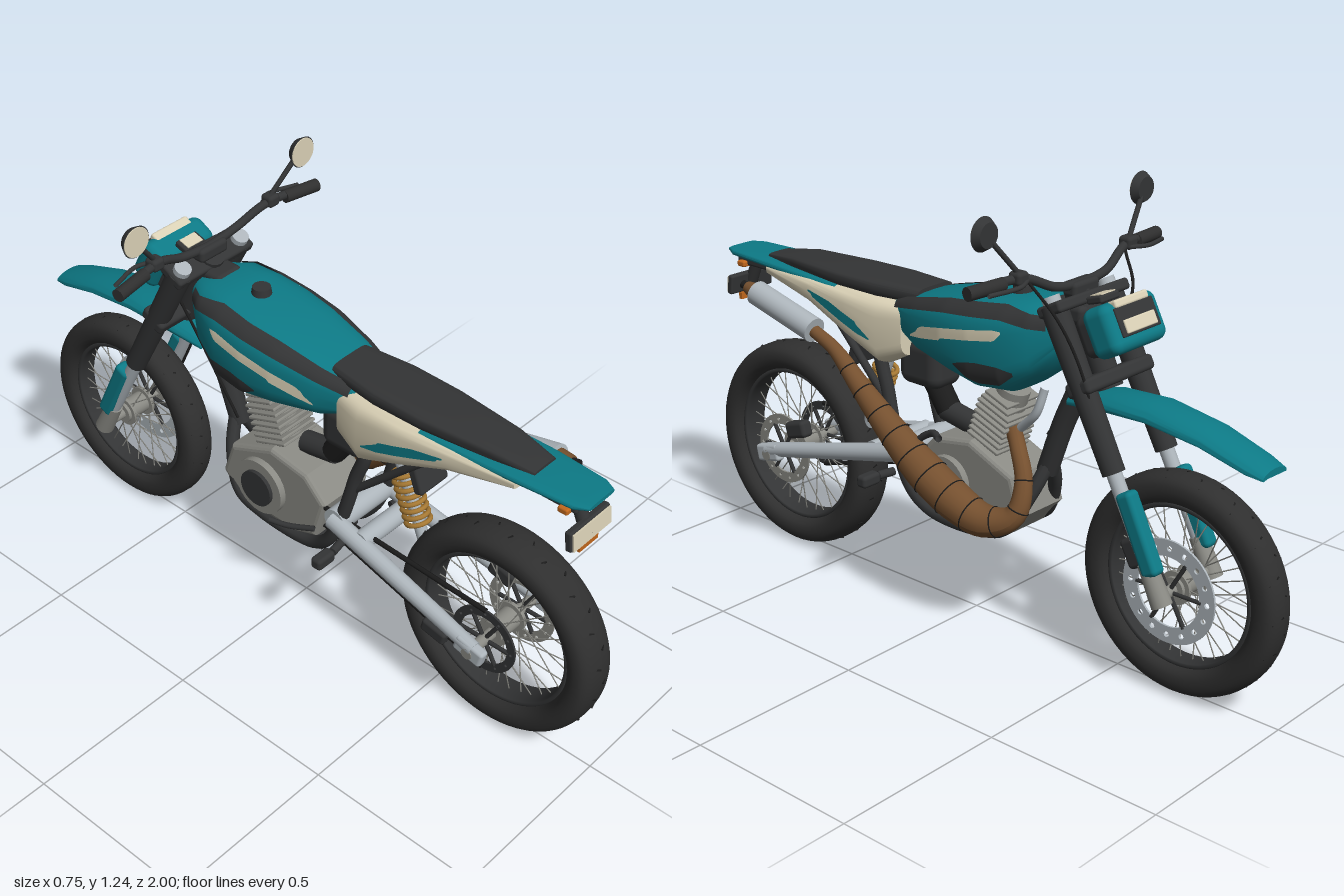
import * as THREE from 'three';
import { toCreasedNormals } from 'three/addons/utils/BufferGeometryUtils.js';
import { RoundedBoxGeometry } from 'three/addons/geometries/RoundedBoxGeometry.js';

export function createModel() {
  const bike = new THREE.Group();
  bike.name = 'motorcycle';
  const paint = (name, color, side = THREE.FrontSide) => Object.assign(new THREE.MeshStandardMaterial({ color, side }), { name });
  const teal = paint('teal', 0x0d7a86, THREE.DoubleSide), cream = paint('cream', 0xdad1b6, THREE.DoubleSide);
  const dark = paint('charcoal', 0x333435, THREE.DoubleSide), rubber = paint('rubber', 0x2f2f2f), black = paint('black', 0x1c1c1c);
  const silver = paint('silver', 0xadb5bb), grey = paint('cast metal', 0x8a8a84), brown = paint('bronze', 0x75502f);
  const orange = paint('orange', 0xc2681c), gold = paint('gold', 0xa87a34);
  const V = (p) => new THREE.Vector3(...p);
  const both = (fn) => [1, -1].forEach(fn);

  const add = (name, geo, mat, pos = [0, 0, 0], rot = [0, 0, 0], parent = bike) => {
    const m = new THREE.Mesh(geo, mat);
    m.name = name;
    m.position.set(...pos);
    m.rotation.set(...rot);
    parent.add(m);
    return m;
  };
  const box = (name, size, mat, pos, rot, parent) => add(name, new THREE.BoxGeometry(...size), mat, pos, rot, parent);
  const rounded = (name, [w, h, d], mat, pos, rot, parent) =>
    add(name, new RoundedBoxGeometry(w, h, d, 3, Math.min(w, h, d) * 0.3), mat, pos, rot, parent);
  // Straight rod between two points
  const rod = (name, a, b, r, mat, r2 = r, sides = 16, parent = bike) => {
    const A = V(a), B = V(b), d = B.clone().sub(A);
    const m = add(name, new THREE.CylinderGeometry(r2, r, d.length(), sides), mat, A.clone().add(B).multiplyScalar(0.5).toArray(), [0, 0, 0], parent);
    m.quaternion.setFromUnitVectors(new THREE.Vector3(0, 1, 0), d.normalize());
    return m;
  };
  const tube = (name, pts, r, mat, n = 32) => add(name, new THREE.TubeGeometry(new THREE.CatmullRomCurve3(pts.map(V)), n, r, 10), mat);
  const axial = (name, r, len, mat, pos, parent) => add(name, new THREE.CylinderGeometry(r, r, len, 28), mat, pos, [0, 0, Math.PI / 2], parent);
  // Side profile given as [z, y], extruded across x
  const slab = (name, shape, width, mat, bevel = 0) => {
    const g = new THREE.ExtrudeGeometry(shape, { depth: width, bevelEnabled: bevel > 0, bevelSize: bevel, bevelThickness: bevel, curveSegments: 32 });
    return add(name, g.translate(0, 0, -width / 2).rotateY(-Math.PI / 2), mat);
  };
  const spow = (v, e) => Math.sign(v) * Math.abs(v) ** e;

  // Body lofted along z from stations [z, bottom, top, halfWidth]
  const loft = (name, st, mat, e = 0.6, arch = 0) => {
    const N = 36, pos = [], idx = [];
    st.forEach(([z, b, t, w]) => {
      for (let i = 0; i < N; i++) {
        const a = (i / N) * Math.PI * 2, x = w * spow(Math.cos(a), e);
        pos.push(x, (b + t) / 2 + ((t - b) / 2) * spow(Math.sin(a), e) - arch * x * x, z);
      }
    });
    for (let s = 0; s < st.length - 1; s++) for (let i = 0; i < N; i++) {
      const a = s * N + i, b = s * N + ((i + 1) % N);
      idx.push(a, b, b + N, a, b + N, a + N);
    }
    const L = (st.length - 1) * N;
    for (let i = 1; i < N - 1; i++) idx.push(0, i + 1, i, L, L + i, L + i + 1);
    const g = new THREE.BufferGeometry();
    g.setAttribute('position', new THREE.Float32BufferAttribute(pos, 3));
    g.setIndex(idx);
    return add(name, toCreasedNormals(g, 0.7), mat);
  };
  const lerpRow = (rows, z) => {
    let k = 0;
    while (k < rows.length - 2 && z > rows[k + 1][0]) k++;
    const f = THREE.MathUtils.clamp((z - rows[k][0]) / (rows[k + 1][0] - rows[k][0]), 0, 1);
    return rows[k].map((v, i) => v + (rows[k + 1][i] - v) * f);
  };
  // Painted patch hugging both sides of a loft, outlined by rows [z, low, high]
  const decal = (name, st, rows, mat, e = 0.6) => both((s) => {
    const g = new THREE.PlaneGeometry(1, 1, 40, 6), p = g.attributes.position;
    for (let i = 0; i < p.count; i++) {
      const z = THREE.MathUtils.lerp(rows[0][0], rows.at(-1)[0], p.getX(i) + 0.5);
      const [, lo, hi] = lerpRow(rows, z), y = lo + (hi - lo) * (p.getY(i) + 0.5);
      const [, b, t, w] = lerpRow(st, z), v = Math.min(0.99, Math.abs((y - (b + t) / 2) / ((t - b) / 2)));
      p.setXYZ(i, s * (w * (1 - v ** (2 / e)) ** (e / 2) + 0.005), y + (y > (b + t) / 2 ? 0.003 : -0.003), z);
    }
    g.computeVertexNormals();
    add(name, g, mat);
  });

  // Wheels
  const ringGeo = (rc, h, w, e) => {
    const pts = [];
    for (let i = 0; i <= 24; i++) {
      const a = (i / 24) * Math.PI * 2;
      pts.push(new THREE.Vector2(rc + h * spow(Math.cos(a), e), w * spow(Math.sin(a), e)));
    }
    return new THREE.LatheGeometry(pts, 64).rotateZ(Math.PI / 2);
  };
  const disc = (name, r, inner, holes, mat, x, y, z) => {
    const s = new THREE.Shape().absarc(0, 0, r, 0, Math.PI * 2);
    s.holes.push(new THREE.Path().absarc(0, 0, inner, 0, Math.PI * 2, true));
    for (let i = 0; i < holes; i++) {
      const a = (i / holes) * Math.PI * 2, q = (r + inner) / 2;
      s.holes.push(new THREE.Path().absarc(q * Math.cos(a), q * Math.sin(a), (r - inner) * 0.17, 0, Math.PI * 2, true));
    }
    slab(name, s, 0.006, mat).position.set(x, y, z);
    for (let i = 0; i < 6; i++) {
      const a = (i / 6) * Math.PI * 2;
      rod(name + 'Arm', [x, y, z], [x, y + inner * 1.05 * Math.sin(a), z + inner * 1.05 * Math.cos(a)], 0.006, dark, 0.006, 6);
    }
  };
  const wheel = (name, y, z, R, w) => {
    const g = new THREE.Group();
    g.name = name;
    g.position.set(0, y, z);
    bike.add(g);
    add('tyre', ringGeo(R - 0.041, 0.041, w, 0.8), rubber, undefined, undefined, g);
    add('rim', ringGeo(R - 0.084, 0.008, w * 0.6, 0.5), dark, undefined, undefined, g);
    axial('hub', 0.032, 0.1, grey, [0, 0, 0], g);
    both((s) => axial('hubFlange', 0.045, 0.01, grey, [s * 0.035, 0, 0], g));
    for (let i = 0; i < 36; i++) {
      const a = (i / 36) * Math.PI * 2, b = a + (i % 4 < 2 ? 0.3 : -0.3), r = R - 0.086;
      rod('spoke', [(i % 2 ? 1 : -1) * 0.035, 0.042 * Math.sin(b), 0.042 * Math.cos(b)], [0, r * Math.sin(a), r * Math.cos(a)], 0.0018, grey, 0.0018, 5, g);
      const t = new THREE.Group();
      t.rotation.x = a;
      g.add(t);
      box('treadGroove', [w * 0.75, 0.004, 0.004], black, [(i % 2 ? 1 : -1) * w * 0.42, R - 0.006, 0], [0, (i % 2 ? 1 : -1) * 0.5, (i % 2 ? -1 : 1) * 0.3], t);
    }
  };
  wheel('rearWheel', 0.31, 0.69, 0.309, 0.064);
  wheel('frontWheel', 0.3, -0.7, 0.298, 0.05);
  disc('frontBrakeDisc', 0.14, 0.095, 16, silver, 0.065, 0.3, -0.7);
  disc('rearBrakeDisc', 0.105, 0.075, 14, grey, 0.08, 0.31, 0.69);
  disc('rearSprocket', 0.1, 0.075, 12, dark, -0.08, 0.31, 0.69);
  axial('frontAxle', 0.016, 0.25, grey, [0, 0.3, -0.7]);
  axial('rearAxle', 0.016, 0.31, grey, [0, 0.31, 0.69]);
  rounded('frontCaliper', [0.04, 0.08, 0.05], dark, [0.075, 0.38, -0.6], [0.5, 0, 0]);
  rounded('rearCaliper', [0.04, 0.05, 0.08], dark, [0.085, 0.39, 0.62], [0.3, 0, 0]);

  // Fork, clamps and leg guards
  const RAKE = 0.478, at = (y) => -0.7 + (y - 0.305) * 0.518;
  both((s) => {
    const leg = (n, a, b, r, m, r2) => rod(n, [s * 0.108, a, at(a)], [s * 0.108, b, at(b)], r, m, r2);
    leg('forkUpper', 0.59, 0.98, 0.03, dark, 0.035);
    leg('forkTube', 0.3, 0.6, 0.02, silver);
    leg('forkCap', 0.98, 1.0, 0.024, silver);
    leg('forkFoot', 0.28, 0.38, 0.028, grey, 0.024);
    rounded('forkGuard', [0.045, 0.22, 0.05], teal, [s * 0.112, 0.455, at(0.455) - 0.018], [RAKE - 0.03, 0, 0]);
  });
  rounded('upperClamp', [0.28, 0.03, 0.08], dark, [0, 0.975, -0.36], [RAKE, 0, 0]);
  rounded('lowerClamp', [0.27, 0.04, 0.08], dark, [0, 0.79, -0.45], [RAKE, 0, 0]);
  rod('steeringHead', [0, 0.76, -0.45], [0, 0.99, -0.34], 0.035, dark);

  // Front fender
  loft('frontFender', [[-0.945, 0.665, 0.68, 0.05], [-0.9, 0.675, 0.7, 0.06], [-0.77, 0.715, 0.742, 0.068], [-0.61, 0.738, 0.768, 0.072],
    [-0.47, 0.73, 0.762, 0.068], [-0.35, 0.705, 0.73, 0.05]], teal, 0.6, 4);

  // Headlight cowl
  const cowl = new THREE.Group();
  cowl.name = 'headlight';
  cowl.position.set(0, 0.935, -0.49);
  cowl.rotation.x = RAKE;
  bike.add(cowl);
  rounded('cowl', [0.21, 0.13, 0.09], teal, [0, 0, 0], [0, 0, 0], cowl);
  rounded('cowlBack', [0.17, 0.11, 0.08], dark, [0, 0, 0.05], [0, 0, 0], cowl);
  rounded('lampRecess', [0.15, 0.075, 0.012], dark, [0, 0.008, -0.044], [0, 0, 0], cowl);
  rounded('lamp', [0.12, 0.035, 0.012], cream, [0, -0.006, -0.049], [0, 0, 0], cowl);
  rounded('lampStrip', [0.13, 0.022, 0.03], cream, [0, 0.054, -0.036], [0, 0, 0], cowl);
  rounded('gauge', [0.075, 0.02, 0.05], dark, [0, 0.99, -0.42], [0.3, 0, 0]);
  box('gaugeFace', [0.055, 0.006, 0.035], cream, [0, 1.0, -0.42], [0.3, 0, 0]);

  // Handlebar, levers and mirrors
  tube('handlebar', [[-0.36, 1.06, -0.305], [-0.2, 1.065, -0.33], [-0.1, 1.025, -0.35], [0, 1.015, -0.35], [0.1, 1.025, -0.35], [0.2, 1.065, -0.33], [0.36, 1.06, -0.305]], 0.012, dark, 48);
  rounded('barClamp', [0.1, 0.04, 0.045], dark, [0, 1.005, -0.35]);
  both((s) => {
    rod('grip', [s * 0.26, 1.062, -0.32], [s * 0.37, 1.058, -0.303], 0.018, rubber);
    rounded('switchBox', [0.04, 0.035, 0.04], dark, [s * 0.215, 1.07, -0.33]);
    tube('lever', [[s * 0.2, 1.062, -0.345], [s * 0.25, 1.06, -0.365], [s * 0.34, 1.055, -0.345]], 0.006, dark, 12);
    tube('mirrorStem', [[s * 0.205, 1.065, -0.335], [s * 0.22, 1.085, -0.33], [s * 0.29, 1.17, -0.31]], 0.007, dark, 12);
    add('mirrorShell', new THREE.CylinderGeometry(0.044, 0.032, 0.02, 32), dark, [s * 0.305, 1.19, -0.305], [Math.PI / 2, 0, 0]);
    add('mirrorGlass', new THREE.CylinderGeometry(0.041, 0.041, 0.004, 32), cream, [s * 0.305, 1.19, -0.294], [Math.PI / 2, 0, 0]);
  });
  tube('brakeCable', [[0.19, 1.055, -0.34], [0.165, 0.97, -0.41], [0.135, 0.85, -0.46], [0.11, 0.6, -0.53], [0.09, 0.4, -0.61]], 0.004, black);
  tube('clutchCable', [[-0.19, 1.055, -0.34], [-0.12, 0.98, -0.42], [-0.08, 0.85, -0.38], [-0.06, 0.55, -0.2]], 0.004, black);

  // Tank with trim
  const tank = [[-0.335, 0.84, 0.945, 0.085], [-0.28, 0.765, 0.96, 0.125], [-0.2, 0.705, 0.956, 0.145], [-0.1, 0.695, 0.945, 0.15],
    [0, 0.715, 0.93, 0.143], [0.13, 0.74, 0.9, 0.115], [0.23, 0.78, 0.872, 0.08]];
  loft('tank', tank, teal);
  decal('tankTrim', tank, [[-0.32, 0.9, 0.935], [-0.2, 0.912, 0.946], [0, 0.89, 0.921], [0.13, 0.865, 0.892], [0.22, 0.845, 0.87]], dark);
  decal('tankStripe', tank, [[-0.21, 0.878, 0.884], [-0.19, 0.856, 0.885], [-0.1, 0.84, 0.868], [0, 0.822, 0.85], [0.08, 0.805, 0.832], [0.13, 0.798, 0.803]], cream);
  decal('tankVent', tank, [[-0.24, 0.775, 0.785], [-0.2, 0.742, 0.795], [-0.13, 0.732, 0.792], [-0.09, 0.742, 0.785], [-0.05, 0.768, 0.772]], dark);
  add('fuelCap', new THREE.CylinderGeometry(0.025, 0.028, 0.02, 24), dark, [0, 0.96, -0.16]);
  rounded('tankNose', [0.09, 0.05, 0.12], dark, [0, 0.94, -0.33]);

  // Seat, side panels and tail
  const panel = [[0.19, 0.71, 0.86, 0.095], [0.27, 0.67, 0.865, 0.112], [0.4, 0.725, 0.865, 0.11], [0.55, 0.79, 0.865, 0.1], [0.74, 0.832, 0.862, 0.08]];
  loft('sidePanels', panel, cream, 0.45);
  decal('panelStripe', panel, [[0.29, 0.748, 0.752], [0.34, 0.757, 0.782], [0.45, 0.795, 0.818], [0.54, 0.828, 0.833]], teal, 0.45);
  loft('rearFender', [[0.45, 0.835, 0.866, 0.09], [0.75, 0.85, 0.874, 0.08], [0.9, 0.853, 0.874, 0.068], [0.935, 0.86, 0.872, 0.05]], teal, 0.55);
  loft('seat', [[0.15, 0.86, 0.905, 0.068], [0.3, 0.855, 0.905, 0.085], [0.45, 0.855, 0.903, 0.083], [0.65, 0.86, 0.9, 0.062], [0.77, 0.863, 0.882, 0.042]], dark, 0.5);
  rounded('tailUnderside', [0.1, 0.025, 0.28], dark, [0, 0.842, 0.76]);
  rounded('innerFender', [0.11, 0.2, 0.03], dark, [0, 0.72, 0.4], [-0.35, 0, 0]);
  rod('plateBracket', [0, 0.85, 0.86], [0, 0.75, 0.905], 0.018, dark);
  rounded('plateHolder', [0.16, 0.058, 0.02], dark, [0, 0.767, 0.905], [-0.12, 0, 0]);
  box('plate', [0.15, 0.048, 0.006], cream, [0, 0.767, 0.917], [-0.12, 0, 0]);
  box('tailReflector', [0.075, 0.02, 0.012], orange, [0, 0.724, 0.908]);
  both((s) => rounded('turnSignal', [0.03, 0.018, 0.03], orange, [s * 0.05, 0.835, 0.87]));

  // Frame
  tube('downTube', [[0, 0.86, -0.38], [0, 0.76, -0.36], [0, 0.62, -0.3], [0, 0.48, -0.25]], 0.03, dark);
  both((s) => {
    tube('cradle', [[0, 0.52, -0.265], [s * 0.05, 0.42, -0.235], [s * 0.08, 0.32, -0.18], [s * 0.08, 0.287, -0.1], [s * 0.08, 0.287, 0.09], [s * 0.09, 0.34, 0.16], [s * 0.09, 0.45, 0.21], [s * 0.085, 0.6, 0.25], [s * 0.08, 0.72, 0.28], [s * 0.07, 0.82, 0.2]], 0.019, dark, 60);
    rod('subframe', [s * 0.085, 0.55, 0.235], [s * 0.07, 0.8, 0.5], 0.011, dark);
    rod('footPeg', [s * 0.1, 0.375, 0.22], [s * 0.15, 0.375, 0.23], 0.012, dark);
    rounded('pegPad', [0.065, 0.035, 0.035], dark, [s * 0.187, 0.375, 0.23]);
  });
  box('skidPlate', [0.15, 0.012, 0.25], dark, [0, 0.277, 0]);
  rounded('airBox', [0.12, 0.14, 0.15], dark, [0, 0.69, 0.17]);

  // Engine
  const caseShape = new THREE.Shape([[0.13, 0.44], [0.1, 0.33], [0.03, 0.305], [-0.17, 0.31], [-0.22, 0.37], [-0.19, 0.46], [-0.05, 0.52], [0.07, 0.5]].map((p) => new THREE.Vector2(...p)));
  slab('crankcase', caseShape, 0.15, grey, 0.015);
  axial('clutchCover', 0.075, 0.03, grey, [0.095, 0.4, 0.02]);
  axial('flywheelCover', 0.085, 0.03, grey, [-0.095, 0.4, -0.08]);
  axial('flywheelCap', 0.055, 0.014, dark, [-0.114, 0.4, -0.08]);
  const barrel = new THREE.Group();
  barrel.name = 'cylinderBarrel';
  barrel.position.set(0, 0.5, -0.065);
  barrel.rotation.x = -0.36;
  bike.add(barrel);
  add('barrel', new THREE.CylinderGeometry(0.045, 0.05, 0.2, 24), grey, [0, 0.1, 0], undefined, barrel);
  for (let i = 0; i < 9; i++) rounded('fin', [0.13, 0.009, 0.115 - (i > 6 ? (i - 6) * 0.015 : 0)], grey, [0, 0.03 + i * 0.018, 0], undefined, barrel);
  add('sparkPlug', new THREE.CylinderGeometry(0.012, 0.014, 0.04, 10), black, [0, 0.21, 0], undefined, barrel);
  rod('carburettor', [0, 0.54, 0], [0, 0.56, 0.11], 0.032, dark);
  rod('intakeHose', [0, 0.56, 0.1], [0, 0.66, 0.17], 0.035, black);
  tube('coolantHose', [[0.05, 0.73, -0.28], [0.06, 0.66, -0.26], [0.05, 0.6, -0.2]], 0.012, silver);
  tube('kickLever', [[0.1, 0.42, 0.07], [0.125, 0.5, 0.1], [0.13, 0.545, 0.04], [0.15, 0.545, 0.0]], 0.01, dark, 16);
  tube('shiftLever', [[-0.1, 0.36, 0.12], [-0.13, 0.35, 0.05], [-0.15, 0.355, 0.0]], 0.008, dark, 12);

  // Expansion chamber exhaust: [x, y, z, radius]
  const path = [[0.02, 0.57, -0.15, 0.022], [0.06, 0.545, -0.2, 0.022], [0.09, 0.47, -0.245, 0.024], [0.12, 0.385, -0.24, 0.03], [0.145, 0.355, -0.16, 0.045], [0.153, 0.385, -0.06, 0.054],
    [0.153, 0.44, 0.05, 0.054], [0.15, 0.52, 0.17, 0.042], [0.145, 0.62, 0.3, 0.029], [0.14, 0.7, 0.4, 0.02], [0.14, 0.735, 0.48, 0.018]];
  const curve = new THREE.CatmullRomCurve3(path.map(([x, y, z]) => new THREE.Vector3(x, y, z)));
  const radiusAt = (u) => {
    const k = curve.getUtoTmapping(u) * (path.length - 1), i = Math.min(Math.floor(k), path.length - 2);
    return THREE.MathUtils.lerp(path[i][3], path[i + 1][3], k - i);
  };
  const pipe = new THREE.TubeGeometry(curve, 70, 1, 20), pp = pipe.attributes.position, pn = pipe.attributes.normal;
  for (let i = 0; i < pp.count; i++) {
    const u = Math.floor(i / 21) / 70, c = curve.getPointAt(u), r = radiusAt(u);
    pp.setXYZ(i, c.x + pn.getX(i) * r, c.y + pn.getY(i) * r, c.z + pn.getZ(i) * r);
  }
  pipe.computeVertexNormals();
  add('expansionChamber', pipe, brown);
  for (let i = 2; i < 13; i++) {
    const u = i / 14, seam = add('weldSeam', new THREE.TorusGeometry(radiusAt(u), 0.002, 5, 24), black, curve.getPointAt(u).toArray());
    seam.quaternion.setFromUnitVectors(new THREE.Vector3(0, 0, 1), curve.getTangentAt(u));
  }
  rod('silencer', [0.14, 0.737, 0.48], [0.135, 0.795, 0.72], 0.036, silver, 0.036, 24);
  rod('silencerTip', [0.135, 0.795, 0.72], [0.134, 0.803, 0.76], 0.026, brown, 0.018);
  rod('tailPipe', [0.134, 0.803, 0.755], [0.134, 0.808, 0.78], 0.012, black);

  // Swingarm, shock and chain
  both((s) => {
    rod('swingarm', [s * 0.105, 0.44, 0.19], [s * 0.135, 0.32, 0.7], 0.027, silver, 0.021);
    rounded('axleBlock', [0.03, 0.05, 0.09], silver, [s * 0.137, 0.315, 0.69], [0.23, 0, 0]);
    rod('chainRun', [-0.08, 0.405 + s * 0.03, 0.14], [-0.08, 0.31 + s * 0.098, 0.69], 0.007, black, 0.007, 6);
  });
  axial('swingarmPivot', 0.035, 0.22, silver, [0, 0.44, 0.2]);
  axial('swingarmBridge', 0.028, 0.22, silver, [0, 0.42, 0.29]);
  rounded('chainGuide', [0.03, 0.04, 0.08], dark, [-0.09, 0.25, 0.54], [0.2, 0, 0]);
  rod('shockBody', [0, 0.43, 0.42], [0, 0.68, 0.32], 0.017, silver);
  for (let i = 0; i < 8; i++) add('springCoil', new THREE.TorusGeometry(0.033, 0.007, 8, 24), gold, [0, 0.49 + i * 0.019, 0.396 - i * 0.0076], [Math.PI / 2 - 0.38, 0, 0]);
  return bike;
}
